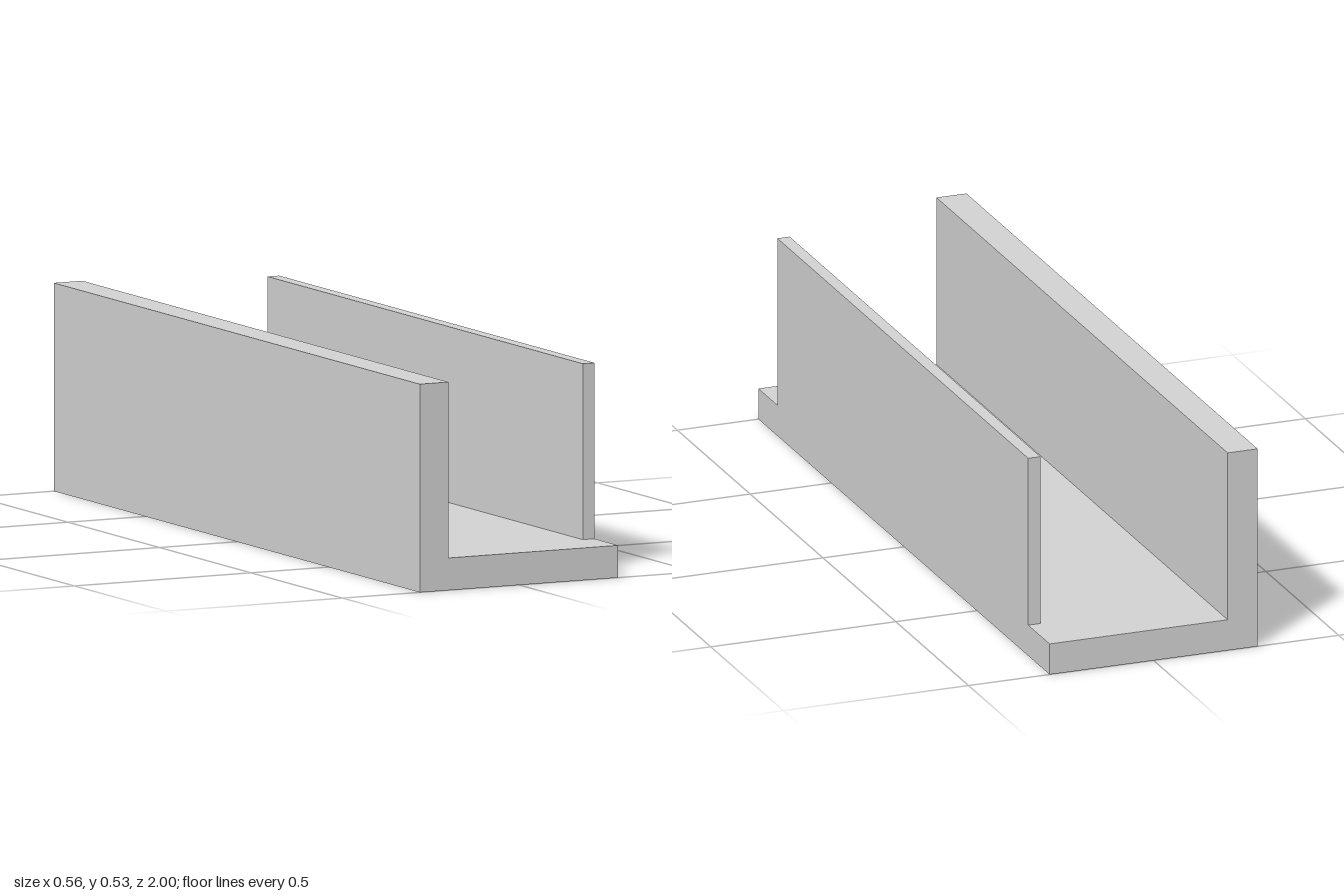
import * as THREE from 'three';

export function createModel() {
  const model = new THREE.Group();
  model.name = 'channel';
  const grey = new THREE.MeshStandardMaterial({ color: 0xd4d4d4 });
  grey.name = 'lightGrey';

  const extrude = (name, points, z0, z1) => {
    const shape = new THREE.Shape(points.map(([x, y]) => new THREE.Vector2(x, y)));
    const geometry = new THREE.ExtrudeGeometry(shape, { depth: z1 - z0, bevelEnabled: false });
    geometry.translate(0, 0, z0);
    const mesh = new THREE.Mesh(geometry, grey);
    mesh.name = name;
    model.add(mesh);
  };

  const half = 0.281, floor = 0.082, top = 0.529;

  // Floor and full-length thick wall in one L-shaped section
  extrude('floorAndThickWall', [
    [-half, 0], [half, 0], [half, floor], [-0.2, floor], [-0.2, top], [-half, top],
  ], -1, 1);

  // Shorter thin wall, set in from both ends
  extrude('thinWall', [
    [0.248, floor], [half, floor], [half, top], [0.248, top],
  ], -0.853, 0.87);

  return model;
}
